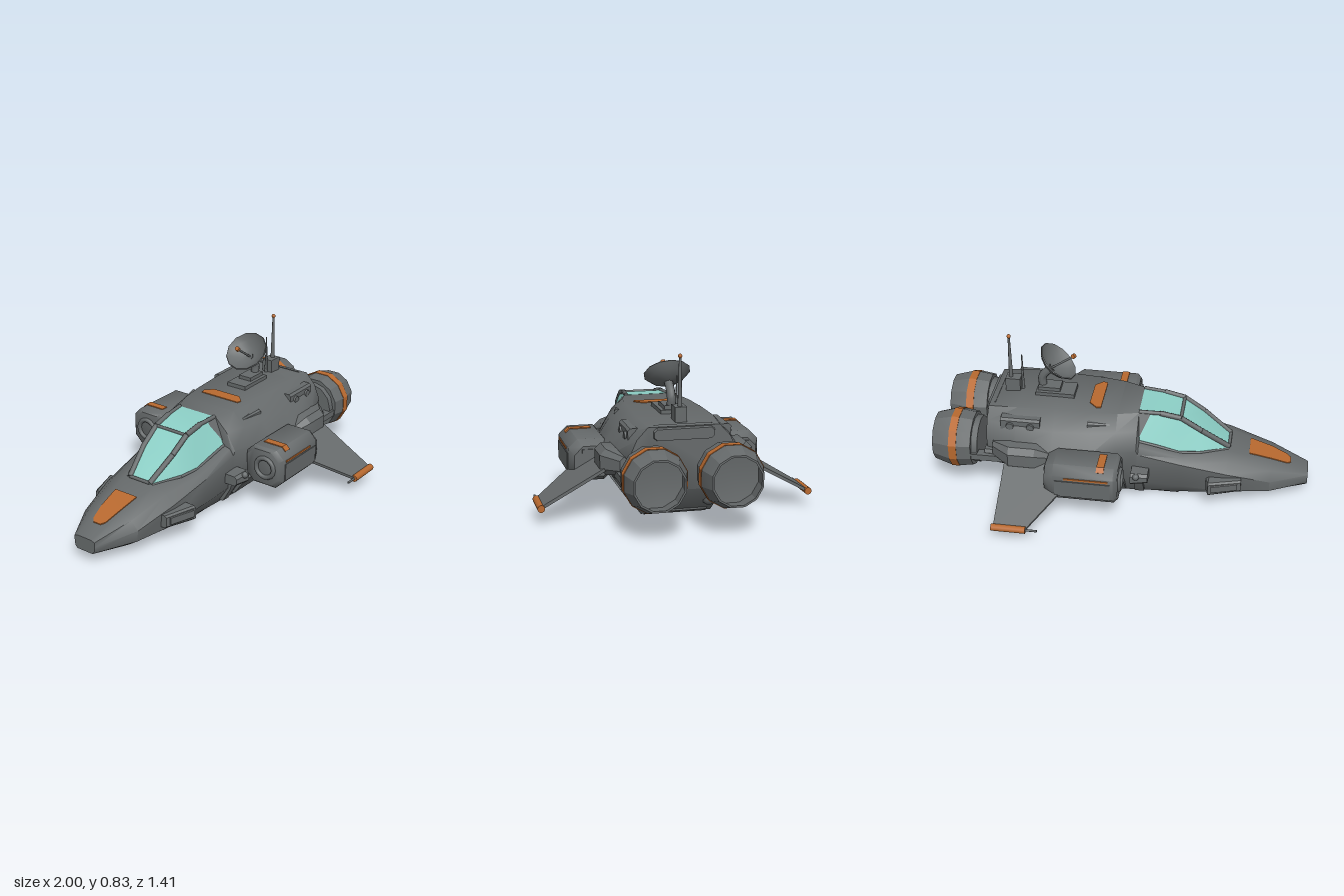
import * as THREE from 'three';
import { toCreasedNormals } from 'three/addons/utils/BufferGeometryUtils.js';

const mat = (name, color) => Object.assign(new THREE.MeshStandardMaterial({ color }), { name });
const V = (x, y, z) => new THREE.Vector3(x, y, z);

// Skin over rings of [x, y, z] that advance along +x, with both ends capped
function loft(rings, crease = 0.55) {
  const n = rings[0].length, idx = [];
  for (let i = 0; i < rings.length - 1; i++) {
    for (let j = 0; j < n; j++) {
      const a = i * n + j, b = i * n + (j + 1) % n;
      idx.push(a, b, a + n, b, b + n, a + n);
    }
  }
  const last = (rings.length - 1) * n;
  for (let j = 1; j < n - 1; j++) idx.push(0, j + 1, j, last, last + j, last + j + 1);
  const g = new THREE.BufferGeometry();
  g.setAttribute('position', new THREE.Float32BufferAttribute(rings.flat(2), 3));
  g.setIndex(idx);
  return toCreasedNormals(g, crease);
}

// Symmetric ring from its +z half, listed top to bottom
const mirrorRing = (half) => [...half, ...half.slice().reverse().map(([x, y, z]) => [x, y, -z])];

// Rings of one [y, z] outline repeated at several x
const sweep = (xs, outline) => xs.map(x => outline.map(([y, z]) => [x, y, z]));

// Rectangle ring with chamfered corners
const rectRing = (x, y0, y1, z0, z1, c) => [
  [y1, z0 + c], [y1, z1 - c], [y1 - c, z1], [y0 + c, z1],
  [y0, z1 - c], [y0, z0 + c], [y0 + c, z0], [y1 - c, z0],
].map(([y, z]) => [x, y, z]);

export function createModel() {
  const ship = new THREE.Group();
  ship.name = 'spaceship';
  const grey = mat('hull grey', 0x666a6b);
  const orange = mat('marking orange', 0xb8692f);
  const teal = mat('canopy teal', 0x8ccfc6);

  const add = (parent, name, geo, m = grey) => {
    const mesh = new THREE.Mesh(geo, m);
    mesh.name = name;
    parent.add(mesh);
    return mesh;
  };
  const box = (parent, name, x0, x1, y0, y1, z0, z1, m = grey) => {
    const g = new THREE.BoxGeometry(x1 - x0, y1 - y0, z1 - z0);
    g.translate((x0 + x1) / 2, (y0 + y1) / 2, (z0 + z1) / 2);
    return add(parent, name, g, m);
  };
  // Round bar between two points
  const bar = (parent, name, a, b, r0, r1 = r0, m = grey, sides = 8) => {
    const d = b.clone().sub(a);
    const mesh = add(parent, name, new THREE.CylinderGeometry(r1, r0, d.length(), sides), m);
    mesh.position.copy(a).add(b).multiplyScalar(0.5);
    mesh.quaternion.setFromUnitVectors(V(0, 1, 0), d.normalize());
    return mesh;
  };
  const ball = (parent, name, x, y, z, r, m = grey) =>
    add(parent, name, new THREE.SphereGeometry(r, 12, 8), m).position.set(x, y, z);

  // Hull: x, bottom y, half width, low side y, half width, high side y, half width, top y, half width
  const hull = [
    [-1.0, .06, .05, .075, .062, .1, .065, .135, .045],
    [-.8, .04, .11, .08, .17, .14, .175, .21, .07],
    [-.57, .027, .14, .08, .21, .2, .222, .272, .1],
    [-.33, .015, .16, .1, .225, .25, .24, .284, .17],
    [-.1, .01, .17, .12, .24, .3, .25, .345, .182],
    [-.09, .01, .17, .12, .24, .325, .252, .485, .125],
    [.02, .01, .18, .14, .26, .325, .285, .49, .16],
    [.15, .01, .18, .15, .275, .32, .325, .495, .175],
    [.35, .01, .18, .15, .28, .31, .34, .5, .185],
    [.55, .01, .18, .15, .28, .33, .325, .5, .19],
    [.71, .17, .15, .21, .25, .35, .27, .49, .18],
  ];
  add(ship, 'hull', loft(hull.map(([x, yb, wb, yl, wl, yu, wu, yt, wt]) => mirrorRing([
    [x, yt, wt], [x, (yt + yu) / 2 + .01, (wt + wu) / 2 + .01],
    [x, yu, wu], [x, yl, wl], [x, yb, wb]])), 0.8));
  add(ship, 'bellyKeel', loft([
    mirrorRing([[-.35, .03, .13], [-.35, .022, .12]]),
    mirrorRing([[-.31, .03, .17], [-.31, 0, .15]]),
    mirrorRing([[.53, .03, .18], [.53, 0, .16]]),
    mirrorRing([[.57, .04, .17], [.57, .02, .15]])]));
  add(ship, 'noseSkid', loft([[-.88, .04, .03], [-.84, .03, .07], [-.45, .016, .08], [-.4, .02, .05]]
    .map(([x, y, w]) => mirrorRing([[x, y + .03, w], [x, y, w - .015]]))));

  // Canopy glass and frame: x, base half width, base y, top half width, top y
  const canopy = [
    [-.57, .08, .268, .065, .276], [-.42, .15, .278, .095, .385],
    [-.31, .172, .284, .1, .457], [-.2, .18, .318, .105, .48],
    [-.088, .186, .345, .115, .486],
  ];
  add(ship, 'canopyGlass', loft(canopy.map(([x, wb, yb, wt, yt]) =>
    mirrorRing([[x, yt, wt], [x, yb, wb]]))), teal);
  const frame = new THREE.Group();
  frame.name = 'canopyFrame';
  ship.add(frame);
  for (const s of [1, -1]) {
    for (let i = 0; i < 4; i++) {
      const [x, wb, yb, wt, yt] = canopy[i], [x2, wb2, yb2, wt2, yt2] = canopy[i + 1];
      bar(frame, 'topRail', V(x, yt, s * wt), V(x2, yt2, s * wt2), i < 3 ? .014 : .011);
      bar(frame, 'sillRail', V(x, yb, s * wb), V(x2, yb2, s * wb2), .008);
    }
    // Corner plate that slants the rear edge of the side window
    add(frame, 'rearCorner', loft([
      [[-.15, .478, s * .112], [-.15, .476, s * .118], [-.15, .474, s * .112]],
      [[-.088, .486, s * .1], [-.088, .488, s * .122], [-.088, .345, s * .192]],
    ].map(r => s > 0 ? r : r.reverse())));
  }
  for (const i of [0, 2]) {
    const [x, , , w, y] = canopy[i];
    bar(frame, 'crossBar', V(x, y, -w), V(x, y, w), .009);
  }

  // Painted patches on the nose and roof
  add(ship, 'nosePatch', loft([[-.905, .1706, .022], [-.885, .1781, .04], [-.8, .21, .057], [-.68, .2423, .07]]
    .map(([x, y, w]) => mirrorRing([[x, y + .005, w], [x, y - .003, w]]))), orange);
  add(ship, 'roofStripe', loft([[.115, .4933, .12], [.14, .4947, .125], [.18, .4958, .085]]
    .map(([x, y, w]) => mirrorRing([[x, y + .005, w], [x, y - .003, w]]))), orange);

  // Roof dish
  const dish = new THREE.Group();
  dish.name = 'dishAntenna';
  ship.add(dish);
  box(dish, 'basePlate', .27, .48, .495, .52, -.06, .06);
  box(dish, 'baseBlock', .35, .47, .52, .54, -.04, .04);
  add(dish, 'neck', new THREE.TubeGeometry(new THREE.CatmullRomCurve3(
    [V(.45, .53, 0), V(.452, .58, 0), V(.435, .61, 0), V(.39, .65, 0)]), 10, .023, 8));
  const bowlShape = [[.001, 0], [.045, .008], [.09, .03], [.121, .06]].map(p => new THREE.Vector2(...p));
  const bowlPoints = [...bowlShape, ...bowlShape.slice().reverse().map(p => V(p.x * .97, p.y + .005, 0))];
  const bowl = add(dish, 'bowl', toCreasedNormals(new THREE.LatheGeometry(bowlPoints, 12), .45));
  bowl.position.set(.402, .642, 0);
  bowl.rotation.z = .72;
  bar(dish, 'feedArm', V(.402, .642, 0), V(.283, .722, 0), .006);
  bar(dish, 'feedTip', V(.285, .72, 0), V(.272, .732, 0), .013, .013, orange);

  // Roof masts
  const masts = new THREE.Group();
  masts.name = 'mastAntennas';
  ship.add(masts);
  box(masts, 'mastBox', .57, .65, .49, .57, -.03, .03);
  bar(masts, 'tallMast', V(.625, .56, 0), V(.625, .815, 0), .012, .006);
  ball(masts, 'mastTip', .625, .818, 0, .011, orange);
  bar(masts, 'shortMast', V(.56, .49, 0), V(.56, .71, 0), .009, .003);
  add(ship, 'rearPanel', loft([rectRing(.68, .42, .495, -.16, .16, .015), rectRing(.725, .425, .48, -.15, .15, .015)]));

  // Everything that comes in pairs
  const buildSide = () => {
    const side = new THREE.Group();

    const pod = new THREE.Group();
    pod.name = 'sidePod';
    side.add(pod);
    add(pod, 'podBody', loft([
      rectRing(-.025, .15, .34, .285, .485, .045), rectRing(-.005, .135, .353, .275, .503, .045),
      rectRing(.31, .135, .353, .275, .503, .045), rectRing(.36, .165, .325, .285, .48, .045)], .9));
    box(pod, 'podSidePanel', .01, .3, .185, .28, .493, .508);
    box(pod, 'podSideStripe', .02, .25, .29, .3, .497, .508, orange);
    add(pod, 'podTopStripe', loft(sweep([.045, .085],
      [[.358, .345], [.358, .46], [.337, .482], [.331, .476], [.35, .456], [.35, .345]])), orange);
    const rim = add(pod, 'podIntakeRim', new THREE.TorusGeometry(.055, .013, 8, 16));
    rim.position.set(-.026, .245, .4);
    rim.rotation.y = Math.PI / 2;
    for (const y of [.18, .29]) box(pod, 'podVent', .34, .366, y, y + .02, .37, .44);

    // Swept wing sloping down to its tip
    const wing = new THREE.Group();
    wing.name = 'wing';
    side.add(wing);
    const shape = new THREE.Shape([[.2, 0], [.595, 0], [.59, .44], [.42, .44], [.28, .23]]
      .map(p => new THREE.Vector2(...p)));
    const wingGeo = new THREE.ExtrudeGeometry(shape, { depth: .016, bevelEnabled: false });
    wingGeo.translate(0, 0, -.008).rotateX(Math.PI / 2 + .509).translate(0, .3, .3);
    add(wing, 'wingPanel', wingGeo);
    bar(wing, 'wingTip', V(.42, .085, .687), V(.6, .085, .687), .019, .019, orange, 10);
    bar(wing, 'wingTipSpike', V(.43, .085, .687), V(.36, .085, .687), .006);
    add(wing, 'wingRoot', loft([
      rectRing(.34, .27, .31, .27, .34, .015), rectRing(.43, .23, .36, .25, .39, .03),
      rectRing(.57, .23, .36, .25, .39, .03), rectRing(.67, .25, .34, .22, .31, .02)]));

    // Engine with open nozzle
    const engine = new THREE.Group();
    engine.name = 'engine';
    side.add(engine);
    const turned = (pts) => toCreasedNormals(new THREE.LatheGeometry(pts.map(p => new THREE.Vector2(...p)),
      12, Math.PI / 12), .4).rotateZ(-Math.PI / 2).translate(0, .277, .188);
    bar(engine, 'engineFrontDrum', V(.755, .277, .188), V(.8, .277, .188), .128, .128, grey, 12);
    add(engine, 'engineBody', turned([[0, .788], [.148, .788], [.158, .86], [.158, .905],
      [.13, 1], [.12, 1], [.135, .9], [0, .88]]));
    add(engine, 'engineBand', turned([[.157, .862], [.161, .862], [.161, .904], [.157, .904]]), orange);
    box(engine, 'outerStrut', .58, .82, .23, .265, .275, .325);
    add(engine, 'strutRoot', loft([
      rectRing(.56, .2, .29, .22, .32, .015), rectRing(.72, .21, .28, .22, .3, .015)]));

    // Roof shoulder block with two lamps
    add(side, 'shoulderBlock', loft([
      rectRing(.42, .385, .47, .15, .262, .012), rectRing(.63, .385, .47, .15, .262, .012)]));
    for (const x of [.47, .58]) bar(side, 'shoulderLamp', V(x, .428, .25), V(x, .428, .272), .024, .02);

    // Nose scoop, side bracket and lower details
    add(side, 'noseScoop', loft([
      rectRing(-.65, .105, .175, .15, .235, .01), rectRing(-.48, .1, .18, .15, .29, .01),
      rectRing(-.465, .11, .17, .15, .25, .01)]));
    add(side, 'scoopPanel', loft([
      rectRing(-.63, .12, .165, .2, .249, .004), rectRing(-.495, .12, .165, .24, .292, .004)]));
    add(side, 'sideBracket', loft([
      rectRing(-.16, .16, .215, .2, .315, .015), rectRing(-.07, .155, .225, .2, .33, .015)]));
    add(side, 'bracketRib', loft(sweep([-.13, -.08],
      [[.17, .22], [.17, .27], [.11, .25], [.03, .205], [.03, .17]])));
    ball(side, 'sideSensor', -.1, .21, .325, .018);
    add(side, 'lowerSill', loft(sweep([-.03, .52],
      [[.135, .2], [.135, .28], [.035, .207], [.035, .17]])));
    ball(side, 'rearPodBall', .605, .095, .158, .042);
    add(side, 'roofWedge', loft([
      rectRing(0, .425, .445, .18, .2, .004), rectRing(.17, .42, .467, .16, .235, .01)]));
    return side;
  };
  const left = buildSide(), right = buildSide();
  left.name = 'nearSideParts';
  right.name = 'farSideParts';
  right.scale.z = -1;
  ship.add(left, right);
  return ship;
}
